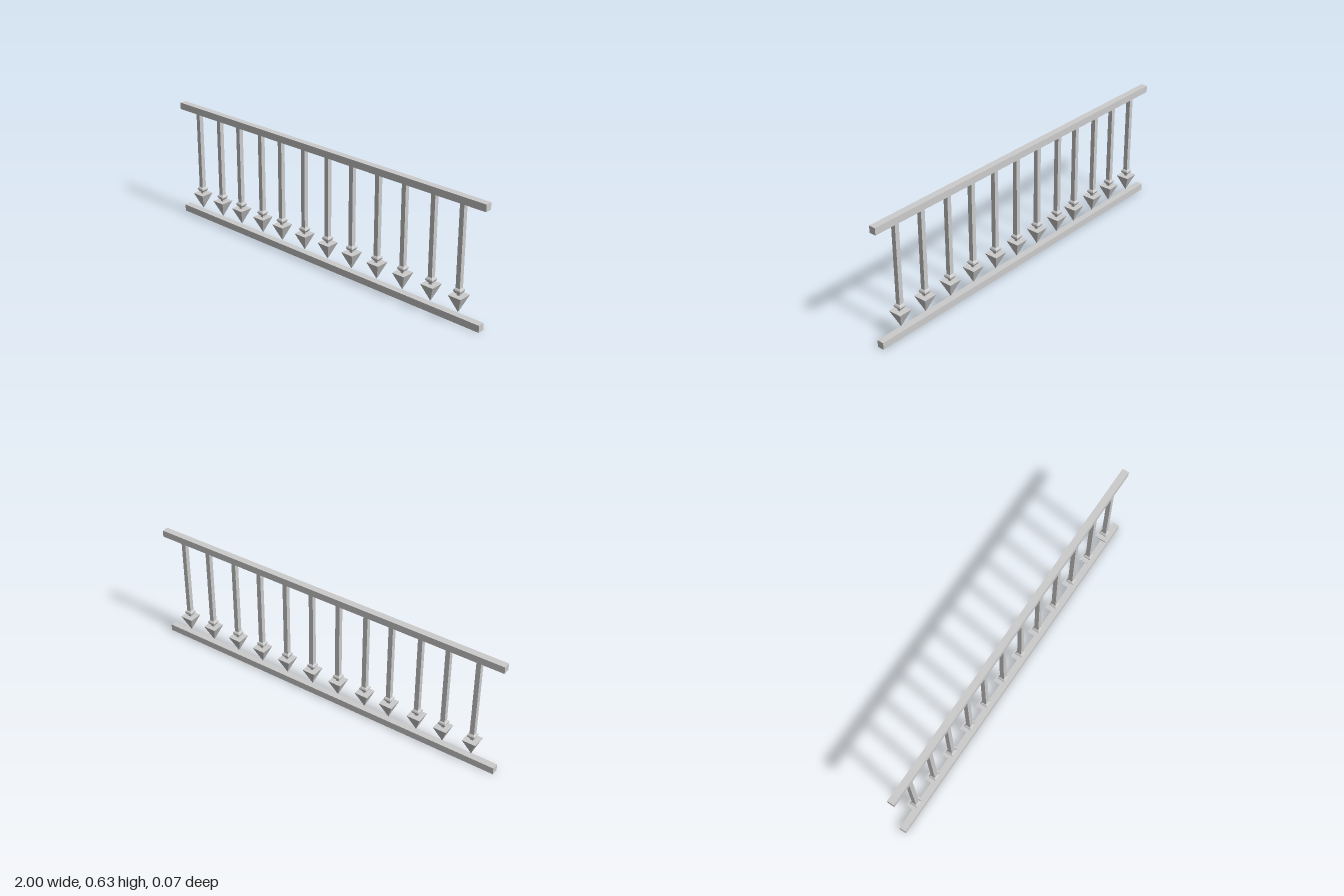
import * as THREE from 'three';

const material = new THREE.MeshStandardMaterial({ color: 0xcccccc, flatShading: true });

function box(name, w, h, d, y) {
  const mesh = new THREE.Mesh(new THREE.BoxGeometry(w, h, d), material);
  mesh.name = name;
  mesh.position.y = y;
  return mesh;
}

// Four-sided solid from [half width, height] pairs, bottom to top
function squareTurned(name, profile) {
  const points = profile.map(([half, y]) => new THREE.Vector2(half * Math.SQRT2, y));
  const mesh = new THREE.Mesh(new THREE.LatheGeometry(points, 4, Math.PI / 4), material);
  mesh.name = name;
  return mesh;
}

// One baluster: square shaft, bulging collar, neck and a downward spear point
function createBaluster() {
  const baluster = new THREE.Group();
  baluster.name = 'baluster';
  baluster.add(
    box('shaft', 0.024, 0.422, 0.024, 0.386),
    squareTurned('collar', [
      [0, 0.15], [0.012, 0.15], [0.0185, 0.159], [0.0205, 0.165],
      [0.018, 0.171], [0.012, 0.177], [0, 0.177],
    ]),
    box('neck', 0.016, 0.016, 0.016, 0.145),
    squareTurned('spearPoint', [[0, 0.05], [0.036, 0.139], [0, 0.139]]),
  );
  return baluster;
}

export function createModel() {
  const railing = new THREE.Group();
  railing.name = 'railing';

  railing.add(
    box('bottomRail', 2, 0.036, 0.036, 0.018),
    box('topRail', 2, 0.036, 0.036, 0.614),
  );

  // Slightly uneven spacing along the rails
  const positions = [-0.868, -0.709, -0.562, -0.402, -0.26, -0.1, 0.058, 0.217, 0.379, 0.539, 0.708, 0.868];
  for (const x of positions) {
    const baluster = createBaluster();
    baluster.position.x = x;
    railing.add(baluster);
  }
  return railing;
}
